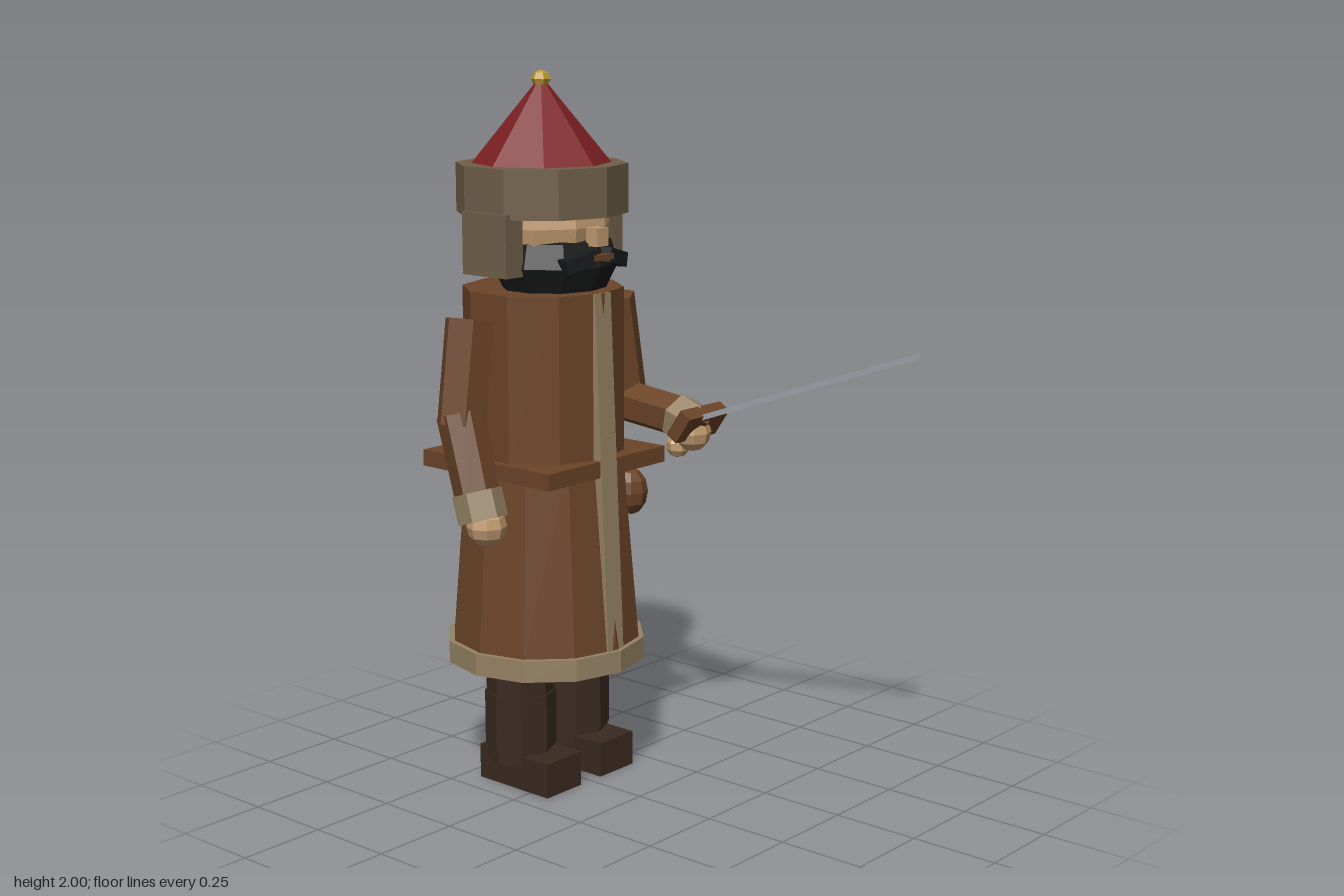
import * as THREE from 'three';

export function createModel() {
  const model = new THREE.Group();
  model.name = 'swordsman';
  const mat = (name, color) => {
    const m = new THREE.MeshStandardMaterial({ color, flatShading: true });
    m.name = name;
    return m;
  };
  const coat = mat('brown coat', 0x6b4428);
  const trim = mat('pale fur trim', 0x968264);
  const fur = mat('hat fur', 0x6f5f48);
  const red = mat('red felt', 0x7d2022);
  const gold = mat('gold', 0xc09a30);
  const skin = mat('skin', 0xc09a70);
  const black = mat('black beard', 0x1a1b1c);
  const boot = mat('dark boot leather', 0x3a2a20);
  const steel = mat('steel', 0x9fa2ac);
  const Z = -0.355; // body axis

  const add = (name, geo, material, x = 0, y = 0, z = Z) => {
    const mesh = new THREE.Mesh(geo, material);
    mesh.name = name;
    mesh.position.set(x, y, z);
    model.add(mesh);
    return mesh;
  };
  const box = (name, m, w, h, d, x, y, z) => add(name, new THREE.BoxGeometry(w, h, d), m, x, y, z);
  const drum = (name, m, rTop, rBottom, y0, y1, sides, x = 0, z = Z) =>
    add(name, new THREE.CylinderGeometry(rTop, rBottom, y1 - y0, sides), m, x, (y0 + y1) / 2, z);
  const ball = (name, m, rx, ry, rz, x, y, z, w = 8, h = 6) => {
    const mesh = add(name, new THREE.SphereGeometry(1, w, h), m, x, y, z);
    mesh.scale.set(rx, ry, rz);
    return mesh;
  };
  // Prism running from point a to point b
  const limb = (name, m, a, b, rA, rB, sides = 6) => {
    const p = new THREE.Vector3(...a), q = new THREE.Vector3(...b);
    const dir = q.clone().sub(p), mid = p.add(q).multiplyScalar(0.5);
    const mesh = add(name, new THREE.CylinderGeometry(rB, rA, dir.length(), sides), m, mid.x, mid.y, mid.z);
    mesh.quaternion.setFromUnitVectors(new THREE.Vector3(0, 1, 0), dir.normalize());
    return mesh;
  };

  // Coat
  drum('torso', coat, 0.225, 0.225, 0.93, 1.41, 10);
  drum('skirt', coat, 0.225, 0.27, 0.41, 0.95, 12);
  drum('hem', trim, 0.285, 0.285, 0.35, 0.412, 12);
  box('belt', coat, 0.48, 0.046, 0.48, 0, 0.928, Z);
  const strip = box('frontTrim', trim, 0.064, 1.0, 0.03, 0, 0.91, -0.1256);
  strip.rotation.x = -Math.atan(0.0441);
  ball('pouch', coat, 0.052, 0.068, 0.044, 0.212, 0.808, -0.215);

  // Legs and boots
  for (const s of [-1, 1]) {
    drum('leg', boot, 0.096, 0.096, 0.07, 0.42, 8, s * 0.113, -0.35);
    drum('bootShaft', boot, 0.101, 0.101, 0.11, 0.27, 8, s * 0.113, -0.35);
    box('bootFoot', boot, 0.14, 0.1, 0.262, s * 0.111, 0.05, -0.316);
  }

  // Head and beard
  ball('head', skin, 0.19, 0.2, 0.19, 0, 1.585, Z, 10, 8);
  const beardProfile = [[0, 1.41], [0.15, 1.412], [0.185, 1.48], [0.165, 1.545], [0.13, 1.556], [0, 1.556]];
  add('beard', new THREE.LatheGeometry(beardProfile.map(([r, y]) => new THREE.Vector2(r, y)), 10),
    black, 0, 0, -0.312).scale.z = 0.93;
  for (const s of [-1, 1]) {
    box('moustache', black, 0.1, 0.04, 0.04, s * 0.07, 1.5, -0.158).rotation.set(0, s * 0.25, -s * 0.25);
    box('earFlap', fur, 0.065, 0.17, 0.163, s * 0.202, 1.545, -0.349);
  }
  box('mouth', coat, 0.076, 0.016, 0.02, 0, 1.508, -0.135);
  box('nose', skin, 0.045, 0.05, 0.04, 0, 1.562, -0.152);

  // Hat
  drum('hatBand', fur, 0.238, 0.238, 1.615, 1.75, 10);
  drum('hatCone', red, 0, 0.192, 1.749, 1.985, 8);
  ball('hatKnob', gold, 0.027, 0.025, 0.027, 0, 1.975, Z, 6, 4);

  // Right arm, hanging
  const elbowR = [-0.335, 1.07, -0.345];
  limb('rightUpperArm', coat, [-0.286, 1.35, Z], elbowR, 0.07, 0.07);
  limb('rightForearm', coat, [-0.337, 1.1, -0.345], [-0.35, 0.88, -0.27], 0.066, 0.062);
  limb('rightCuff', trim, [-0.35, 0.9, -0.275], [-0.352, 0.825, -0.25], 0.068, 0.068);
  ball('rightHand', skin, 0.055, 0.055, 0.055, -0.348, 0.81, -0.242);

  // Left arm, bent forward
  limb('leftUpperArm', coat, [0.286, 1.35, Z], [0.338, 1.06, Z], 0.07, 0.07);
  limb('leftForearm', coat, [0.335, 1.04, -0.36], [0.322, 1.02, -0.12], 0.064, 0.062);
  limb('leftCuff', trim, [0.322, 1.023, -0.13], [0.314, 1.0, -0.055], 0.068, 0.066);
  ball('leftHand', skin, 0.055, 0.055, 0.05, 0.312, 0.985, -0.07);

  // Sword
  ball('pommel', skin, 0.034, 0.034, 0.036, 0.31, 0.938, -0.125, 6, 5);
  limb('grip', coat, [0.31, 0.945, -0.12], [0.312, 1.03, -0.03], 0.02, 0.02);
  box('guard', coat, 0.176, 0.09, 0.04, 0.313, 1.015, -0.053).rotation.x = 0.6;
  const from = new THREE.Vector3(0.311, 1.03, -0.04), to = new THREE.Vector3(0.37, 1.273, 0.632);
  const mid = from.clone().add(to).multiplyScalar(0.5);
  const blade = box('blade', steel, 0.052, 0.015, from.distanceTo(to), mid.x, mid.y, mid.z);
  blade.lookAt(to);

  return model;
}
